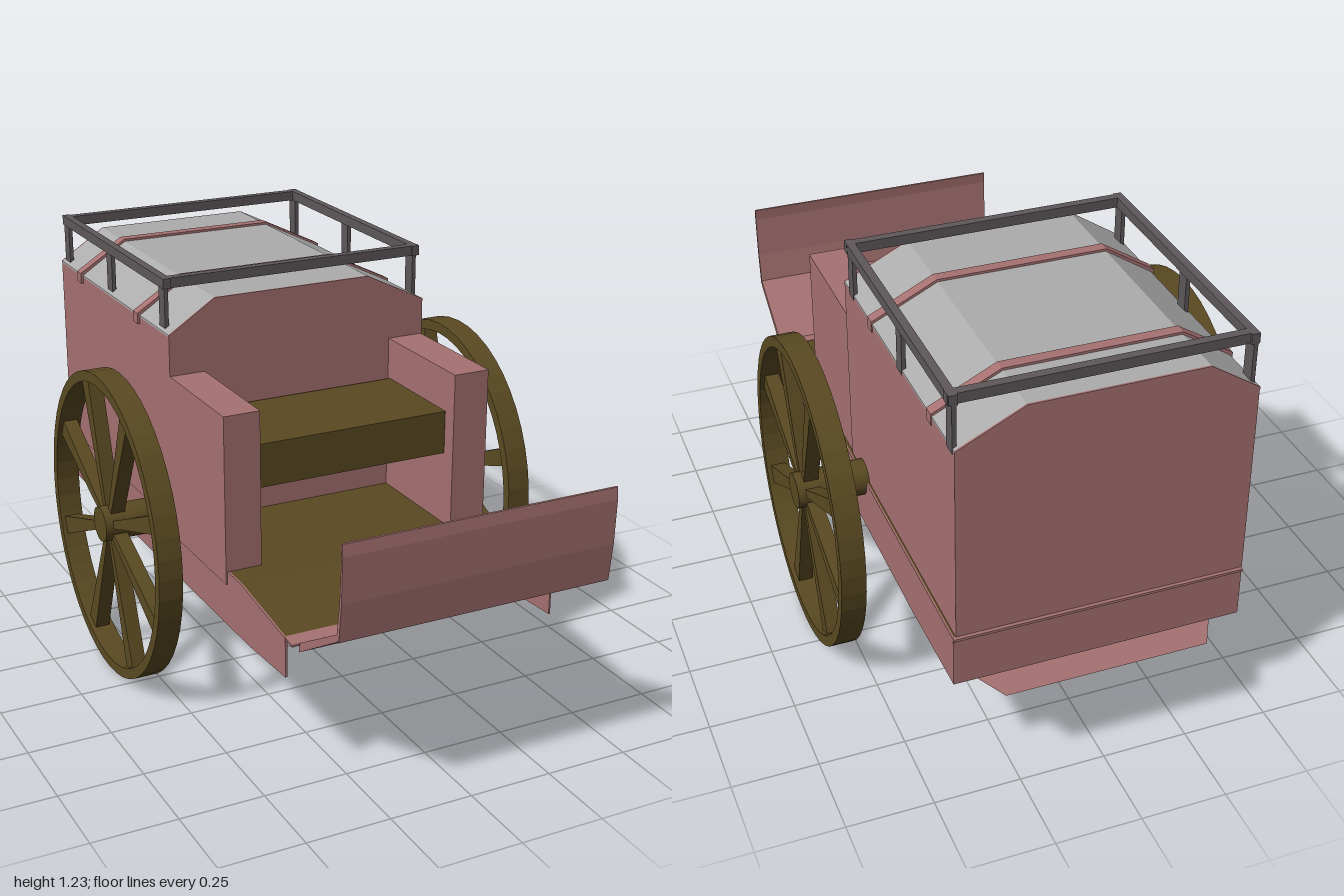
import * as THREE from 'three';

const mat = (name, color, side = THREE.FrontSide) => {
  const m = new THREE.MeshStandardMaterial({ color, side });
  m.name = name;
  return m;
};

export function createModel() {
  const root = new THREE.Group();
  root.name = 'cart';
  const pink = mat('dustyPinkPaint', 0xa67171, THREE.DoubleSide);
  const wood = mat('darkOliveWood', 0x5a4a22);
  const cloth = mat('greyRoof', 0xacacac);
  const iron = mat('darkIron', 0x5e585a);

  const add = (name, geo, material, parent = root) => {
    const m = new THREE.Mesh(geo, material);
    m.name = name;
    parent.add(m);
    return m;
  };
  // Box given by its lower and upper limits
  const box = (name, material, x0, x1, y0, y1, z0, z1, parent = root) => {
    const g = new THREE.BoxGeometry(x1 - x0, y1 - y0, z1 - z0);
    g.translate((x0 + x1) / 2, (y0 + y1) / 2, (z0 + z1) / 2);
    return add(name, g, material, parent);
  };
  const shapeOf = (pts) => new THREE.Shape(pts.map((p) => new THREE.Vector2(p[0], p[1])));
  const extrude = (shape, depth) =>
    new THREE.ExtrudeGeometry(shape, { depth, bevelEnabled: false, curveSegments: 24 });
  // (x, y) outline extruded along z
  const alongZ = (pts, z0, z1) => extrude(shapeOf(pts), z1 - z0).translate(0, 0, z0);
  // (z, y) outline extruded along x
  const alongX = (pts, x0, x1) =>
    extrude(shapeOf(pts), x1 - x0).rotateY(-Math.PI / 2).translate(x1, 0, 0);

  // Floor, with its underside rising towards the front
  add('floor', alongX([[-0.915, 0.335], [-0.6, 0.325], [0.38, 0.325], [0.725, 0.44],
    [0.725, 0.45], [0.45, 0.489], [-0.915, 0.489]], -0.42, 0.41), wood);

  // Thin lower side boards and tailboard
  const side = [[-0.923, 0.335], [-0.6, 0.322], [0.5, 0.322], [0.73, 0.335],
    [0.73, 0.45], [0.45, 0.49], [-0.923, 0.49]];
  add('leftSideBoard', alongX(side, 0.41, 0.415), pink);
  add('rightSideBoard', alongX(side, -0.426, -0.42), pink);
  box('tailboard', pink, -0.426, 0.415, 0.335, 0.49, -0.925, -0.915);
  box('tailRim', pink, -0.426, 0.415, 0.484, 0.492, -0.931, -0.922);

  // Flat rear step under the floor
  const step = new THREE.ShapeGeometry(
    shapeOf([[-0.42, 0.78], [0.41, 0.78], [0.295, 1], [-0.295, 1]]));
  step.rotateX(-Math.PI / 2).translate(0, 0.321, 0);
  add('rearStep', step, pink);

  // Cabin, gable ends and roof
  box('cabin', pink, -0.43, 0.405, 0.489, 1.072, -0.918, -0.012);
  const gable = [[-0.43, 1.07], [0.405, 1.07], [0.405, 1.076], [0.215, 1.17],
    [-0.285, 1.17], [-0.43, 1.076]];
  add('roof', alongZ(gable, -0.914, -0.016), cloth);
  add('frontGable', alongZ(gable, -0.016, -0.01), pink);
  add('rearGable', alongZ(gable, -0.92, -0.914), pink);

  // Straps over the roof
  const strap = [[-0.438, 1.05], [-0.428, 1.05], [-0.428, 1.07], [-0.285, 1.164],
    [0.215, 1.164], [0.4, 1.07], [0.4, 1.05], [0.408, 1.05], [0.408, 1.083],
    [0.217, 1.177], [-0.287, 1.177], [-0.438, 1.083]];
  for (const z of [-0.25, -0.735]) add('roofStrap', alongZ(strap, z - 0.017, z + 0.017), pink);

  // Seat and arm walls
  box('rightArmWall', pink, -0.43, -0.32, 0.45, 0.952, -0.012, 0.362);
  box('leftArmWall', pink, 0.29, 0.402, 0.45, 0.965, -0.012, 0.378);
  box('seat', wood, -0.32, 0.29, 0.71, 0.84, 0.0, 0.33);

  // Front lip, sloping toe board and upright dashboard
  add('frontLip', alongX([[0.72, 0.445], [0.765, 0.44], [0.765, 0.446], [0.72, 0.452]],
    -0.424, 0.41), pink);
  add('toeBoard', alongX([[0.76, 0.418], [0.975, 0.548], [0.98, 0.572], [0.76, 0.445]],
    -0.4, 0.42), pink);
  add('dashboard', alongX([[0.97, 0.56], [0.982, 0.548], [0.995, 0.66], [1.0, 0.79],
    [0.997, 0.825], [0.99, 0.825], [0.993, 0.79], [0.985, 0.66]], -0.4, 0.42), pink);

  // Roof rack
  const rack = new THREE.Group();
  rack.name = 'roofRack';
  root.add(rack);
  for (const x of [-0.413, 0.402]) {
    box('sideRail', iron, x - 0.012, x + 0.012, 1.2, 1.23, -0.905, -0.055, rack);
    for (const z of [-0.08, -0.5, -0.883]) {
      box('rackPost', iron, x - 0.008, x + 0.004, 1.06, 1.2, z - 0.021, z + 0.021, rack);
    }
  }
  for (const z of [-0.072, -0.885]) {
    box('crossRail', iron, -0.42, 0.415, 1.2, 1.23, z - 0.013, z + 0.013, rack);
  }

  // Axle
  const axle = new THREE.CylinderGeometry(0.054, 0.054, 1.24, 20);
  axle.rotateZ(Math.PI / 2).translate(0, 0.48, -0.13);
  add('axle', axle, wood);

  // Wheels with flared spokes, slightly taller than wide
  for (const x of [-0.575, 0.575]) {
    const wheel = new THREE.Group();
    wheel.name = x > 0 ? 'leftWheel' : 'rightWheel';
    wheel.position.set(x, 0.473, -0.13);
    wheel.scale.y = 0.472 / 0.44;
    const ring = new THREE.Shape().absarc(0, 0, 0.44, 0, Math.PI * 2);
    ring.holes.push(new THREE.Path().absarc(0, 0, 0.41, 0, Math.PI * 2, true));
    add('rim', extrude(ring, 0.072).rotateY(-Math.PI / 2).translate(0.036, 0, 0), wood, wheel);
    for (let i = 0; i < 8; i++) {
      const s = alongX([[0.03, -0.01], [0.418, -0.027], [0.418, 0.027], [0.03, 0.01]],
        -0.022, 0.022);
      const spoke = add('spoke', s, wood, wheel);
      spoke.rotation.x = THREE.MathUtils.degToRad(25 + i * 45);
    }
    root.add(wheel);
  }
  return root;
}
